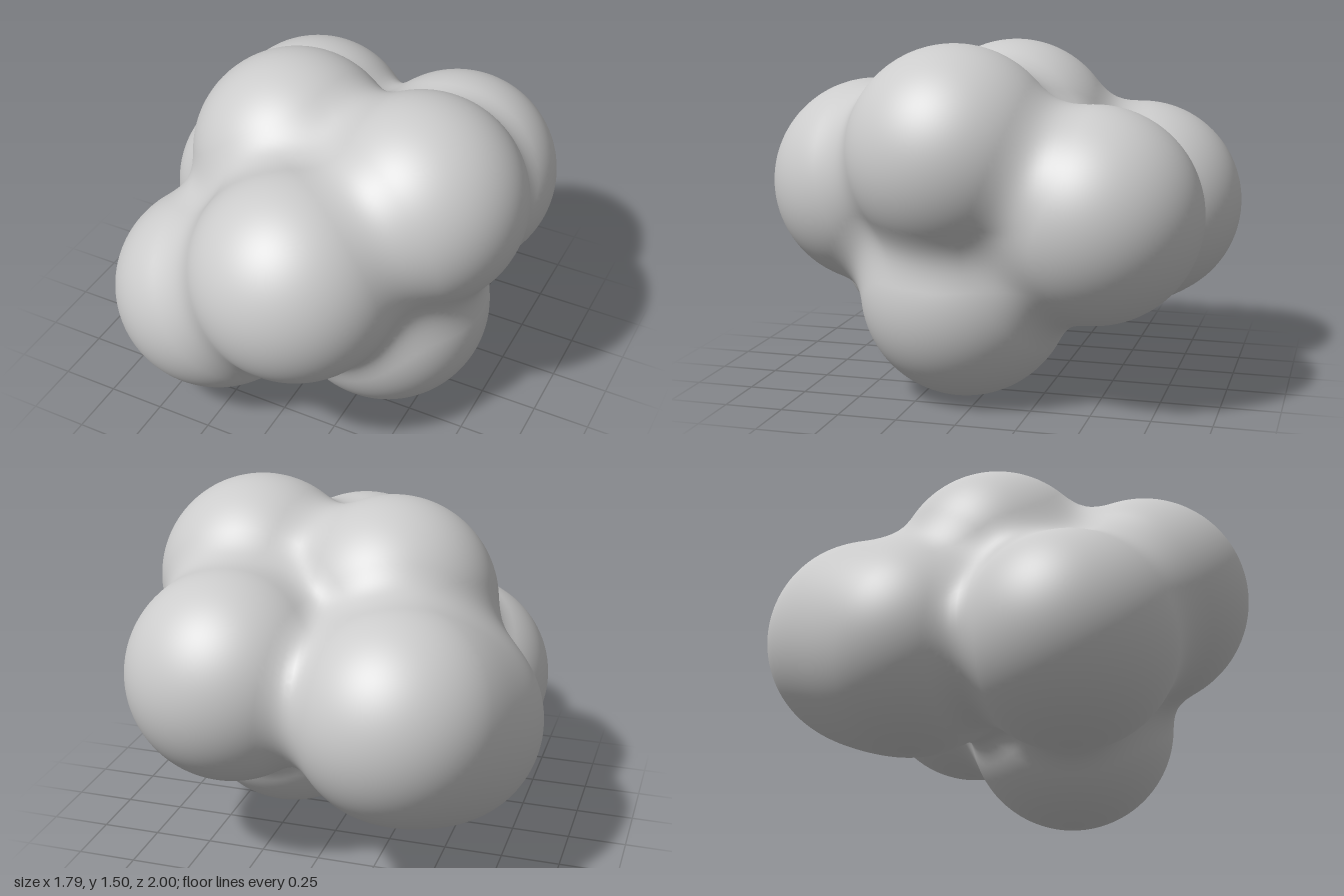
import * as THREE from 'three';

// Lobes of the cluster: x, y, z of each centre; all share one radius
const LOBES = [
  [-0.35, 0.54, 0.43],  // front, lower right
  [0.1, 0.87, 0.55],    // front, centre
  [0.44, 1.05, 0.09],   // top left
  [-0.19, 1.03, -0.01], // top right
  [0.3, 0.45, 0.08],    // bottom
  [0.37, 0.81, -0.48],  // back left
  [-0.37, 0.75, -0.55], // back right
  [-0.45, 0.62, -0.27], // right side
];
const RADIUS = 0.45;
const BLEND = 0.15;

// Signed distance to the lobes, joined by soft fillets
function field(x, y, z) {
  let d = Infinity;
  for (const [cx, cy, cz] of LOBES) {
    const s = Math.hypot(x - cx, y - cy, z - cz) - RADIUS;
    const h = Math.max(BLEND - Math.abs(d - s), 0);
    d = Math.min(d, s) - (h * h) / (4 * BLEND);
  }
  return d;
}

function gradient(p, target) {
  const e = 1e-3;
  return target.set(
    field(p.x + e, p.y, p.z) - field(p.x - e, p.y, p.z),
    field(p.x, p.y + e, p.z) - field(p.x, p.y - e, p.z),
    field(p.x, p.y, p.z + e) - field(p.x, p.y, p.z - e)
  ).divideScalar(2 * e);
}

// Surface net: one vertex per crossed cell, one quad per crossed grid edge
function skinGeometry(min, max, step) {
  const [nx, ny, nz] = [0, 1, 2].map((a) => Math.ceil((max[a] - min[a]) / step) + 1);
  const stride = [1, nx, nx * ny];
  const values = new Float32Array(nx * ny * nz);
  const at = (i, j, k) => i + j * stride[1] + k * stride[2];
  for (let k = 0; k < nz; k++)
    for (let j = 0; j < ny; j++)
      for (let i = 0; i < nx; i++)
        values[at(i, j, k)] = field(min[0] + i * step, min[1] + j * step, min[2] + k * step);

  const positions = [], normals = [], indices = [];
  const cellVertex = new Int32Array(values.length).fill(-1);
  const p = new THREE.Vector3(), g = new THREE.Vector3();

  for (let k = 0; k < nz - 1; k++)
    for (let j = 0; j < ny - 1; j++)
      for (let i = 0; i < nx - 1; i++) {
        const base = at(i, j, k);
        let count = 0;
        p.set(0, 0, 0);
        // Average the crossings on the twelve cell edges
        for (let c = 0; c < 8; c++)
          for (let a = 0; a < 3; a++) {
            if (c & (1 << a)) continue;
            const o = [c & 1, (c >> 1) & 1, (c >> 2) & 1];
            const q = base + o[0] + o[1] * stride[1] + o[2] * stride[2];
            const v0 = values[q], v1 = values[q + stride[a]];
            if (v0 < 0 === v1 < 0) continue;
            o[a] += v0 / (v0 - v1);
            p.x += o[0]; p.y += o[1]; p.z += o[2];
            count++;
          }
        if (!count) continue;
        p.divideScalar(count);
        p.set(min[0] + (i + p.x) * step, min[1] + (j + p.y) * step, min[2] + (k + p.z) * step);
        // Pull the vertex exactly onto the surface
        for (let n = 0; n < 2; n++) {
          gradient(p, g);
          p.addScaledVector(g, -field(p.x, p.y, p.z) / Math.max(g.lengthSq(), 0.2));
        }
        gradient(p, g).normalize();
        cellVertex[base] = positions.length / 3;
        positions.push(p.x, p.y, p.z);
        normals.push(g.x, g.y, g.z);
      }

  for (let k = 1; k < nz - 1; k++)
    for (let j = 1; j < ny - 1; j++)
      for (let i = 1; i < nx - 1; i++) {
        const q = at(i, j, k);
        for (let a = 0; a < 3; a++) {
          const inside = values[q] < 0;
          if (inside === values[q + stride[a]] < 0) continue;
          const u = stride[(a + 1) % 3], v = stride[(a + 2) % 3];
          const [A, B, C, D] = [q - u - v, q - v, q, q - u].map((c) => cellVertex[c]);
          if (inside) indices.push(A, B, C, A, C, D);
          else indices.push(A, C, B, A, D, C);
        }
      }

  const geometry = new THREE.BufferGeometry();
  geometry.setAttribute('position', new THREE.Float32BufferAttribute(positions, 3));
  geometry.setAttribute('normal', new THREE.Float32BufferAttribute(normals, 3));
  geometry.setIndex(indices);
  return geometry;
}

export function createModel() {
  const group = new THREE.Group();
  group.name = 'blobCluster';
  const material = new THREE.MeshStandardMaterial({ color: 0xcccccc });
  const skin = new THREE.Mesh(skinGeometry([-1, -0.1, -1.1], [1, 1.6, 1.1], 0.026), material);
  skin.name = 'blendedLobes';
  group.add(skin);
  return group;
}
